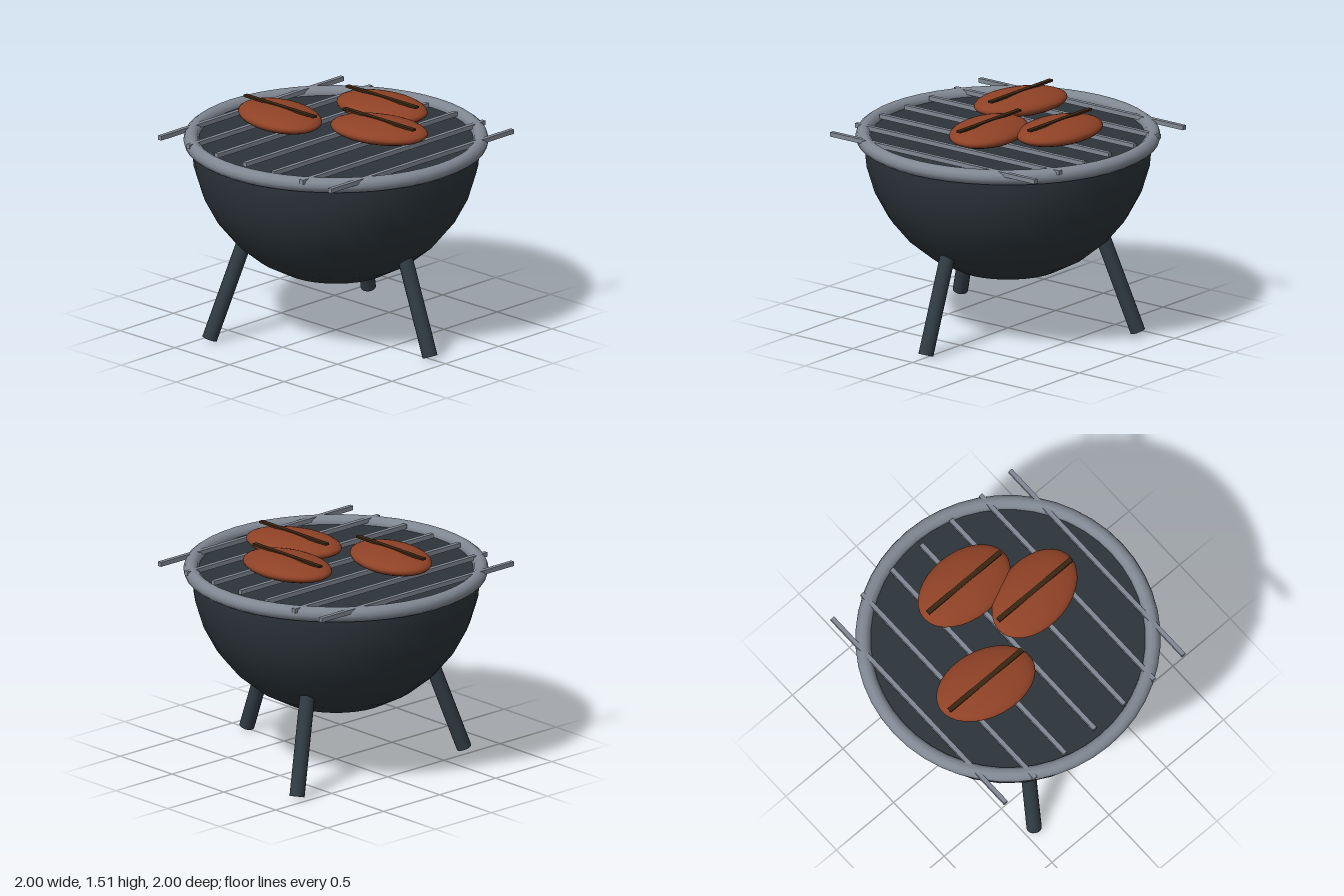
import * as THREE from 'three';

const RIM_Y = 1.318;
const BOWL_R = 0.95;

function material(name, color) {
  const m = new THREE.MeshStandardMaterial({ color });
  m.name = name;
  return m;
}

export function createModel() {
  const group = new THREE.Group();
  group.name = 'kettleGrill';

  const enamel = material('dark enamel', 0x2c343a);
  const legMetal = material('leg metal', 0x303b43);
  const steel = material('grey steel', 0x808893);
  const meat = material('cooked meat', 0x8f4226);
  const char = material('char mark', 0x3a2412);

  const add = (name, geometry, mat, x = 0, y = 0, z = 0) => {
    const mesh = new THREE.Mesh(geometry, mat);
    mesh.name = name;
    mesh.position.set(x, y, z);
    group.add(mesh);
    return mesh;
  };

  // Half-sphere bowl, closed by a flat bed
  add('bowl', new THREE.SphereGeometry(BOWL_R, 32, 8, 0, Math.PI * 2, Math.PI / 2, Math.PI / 2), enamel, 0, RIM_Y);
  add('coalBed', new THREE.CircleGeometry(0.94, 48).rotateX(-Math.PI / 2), enamel, 0, RIM_Y);

  // Rolled rim
  add('rim', new THREE.TorusGeometry(BOWL_R, 0.05, 10, 48).rotateX(Math.PI / 2), steel, 0, RIM_Y);

  // Three splayed legs, sunk into the bowl
  const tilt = 0.35, legLength = 0.74, footR = 0.86, footY = 0.017;
  const legGeometry = new THREE.CylinderGeometry(0.05, 0.05, legLength, 16)
    .translate(0, legLength / 2, 0)
    .rotateZ(tilt)
    .translate(footR, footY, 0);
  for (let i = 0; i < 3; i++) {
    add(`leg${i + 1}`, legGeometry, legMetal).rotation.y = (i * Math.PI * 2) / 3;
  }

  // Parallel grate bars
  const barGeometry = new THREE.BoxGeometry(0.03, 0.03, 1.715);
  for (let i = -3; i <= 3; i++) {
    add(`grateBar${i + 4}`, barGeometry, steel, i * 0.259, 1.349, 0);
  }

  // Flattened patties, each with one straight char mark: x, z, turn
  const pattyGeometry = new THREE.SphereGeometry(1, 32, 16).scale(0.35, 0.071, 0.233);
  const markGeometry = new THREE.BoxGeometry(0.64, 0.014, 0.033);
  [[0, -0.433, 0], [0.31, -0.088, 0.2], [-0.345, 0.171, -0.2]].forEach(([x, z, turn], i) => {
    add(`patty${i + 1}`, pattyGeometry, meat, x, 1.437, z).rotation.y = turn;
    add(`charMark${i + 1}`, markGeometry, char, x, 1.506, z);
  });

  return group;
}
